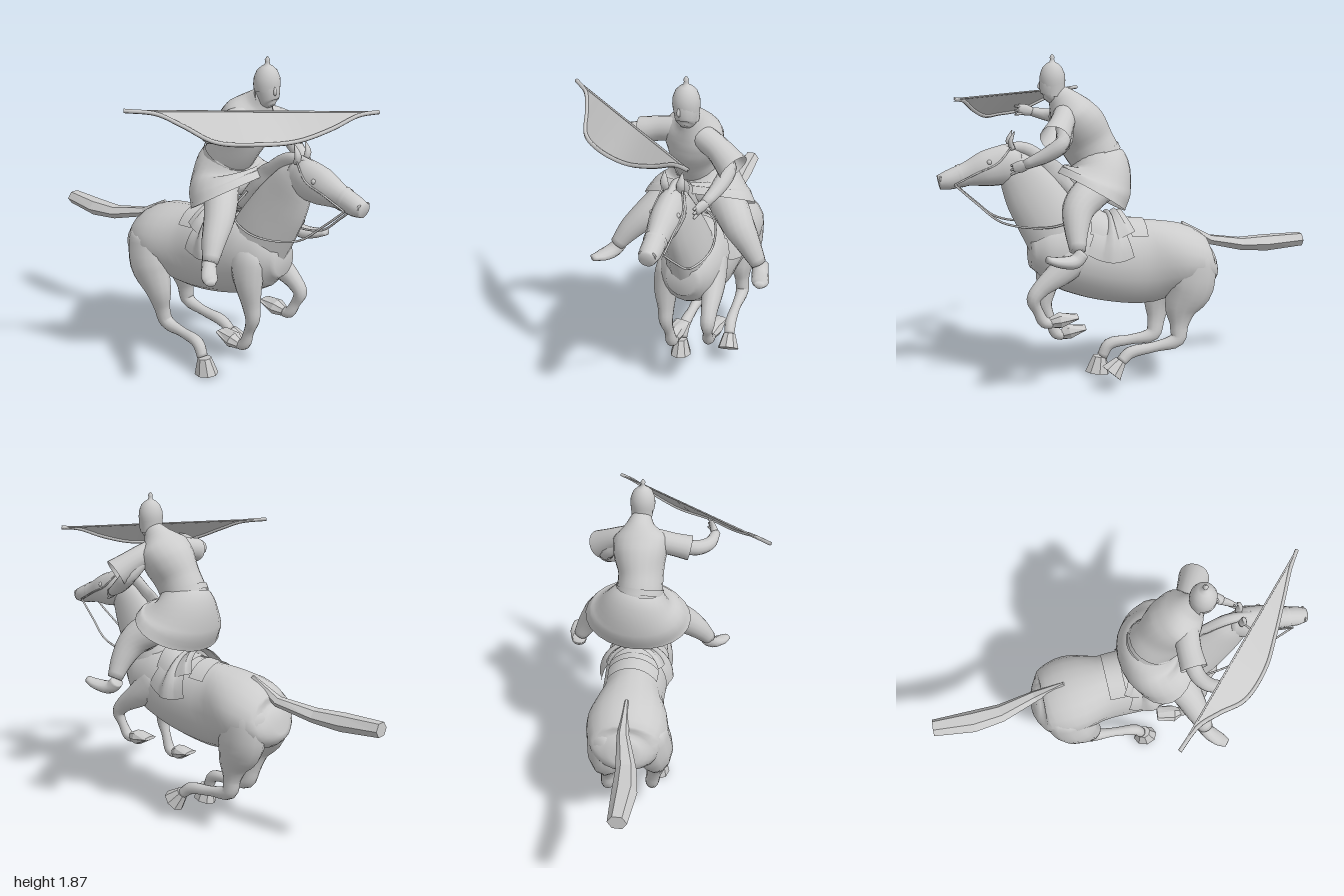
import * as THREE from 'three';

const V = (x, y, z) => new THREE.Vector3(x, y, z);
const grey = new THREE.MeshStandardMaterial({ color: 0xcccccc });
const faceted = new THREE.MeshStandardMaterial({ color: 0xcccccc, flatShading: true });
const thin = new THREE.MeshStandardMaterial({ color: 0xcccccc, side: THREE.DoubleSide });
const SIDE = V(0.927, 0, -0.375); // sideways axis of the horse
const UP = V(0, 1, 0);
// a point in the horse's own frame: distance along, height, sideways offset
const at = (z, y, u = 0) => [0.41 * z + 0.927 * u, y, z - 0.375 * u];

export function createModel() {
  const model = new THREE.Group();
  const add = (parent, name, geometry, material = grey) => {
    const mesh = new THREE.Mesh(geometry, material);
    mesh.name = name;
    parent.add(mesh);
    return mesh;
  };
  const group = (name) => {
    const g = new THREE.Group();
    g.name = name;
    model.add(g);
    return g;
  };

  // Skin through elliptical sections [x, y, z, halfWidth, halfDepth]
  function loft(sections, { side = SIDE, n = 16, steps = 4, arc = null, caps = true } = {}) {
    const path = new THREE.CatmullRomCurve3(sections.map((s) => V(s[0], s[1], s[2])));
    const size = new THREE.CatmullRomCurve3(sections.map((s) => V(s[3], s[4] ?? s[3], 0)));
    const rows = (sections.length - 1) * steps, cols = arc ? n + 1 : n;
    const [from, to] = arc ?? [0, Math.PI * 2];
    const pos = [], idx = [];
    for (let i = 0; i <= rows; i++) {
      const c = path.getPoint(i / rows), r = size.getPoint(i / rows), t = path.getTangent(i / rows);
      const s = side.clone().addScaledVector(t, -side.dot(t)).normalize();
      const m = t.clone().cross(s);
      for (let j = 0; j < cols; j++) {
        const a = from + (to - from) * j / n;
        const p = c.clone().addScaledVector(s, r.x * Math.cos(a)).addScaledVector(m, r.y * Math.sin(a));
        pos.push(p.x, p.y, p.z);
      }
    }
    for (let i = 0; i < rows; i++) for (let j = 0; j < n; j++) {
      const k = (j + 1) % cols, a = i * cols + j, b = i * cols + k;
      idx.push(a, b, b + cols, a, b + cols, a + cols);
    }
    if (caps && !arc) {
      const e = rows * cols, c0 = pos.length / 3;
      pos.push(...sections[0].slice(0, 3), ...sections.at(-1).slice(0, 3));
      for (let j = 0; j < n; j++) {
        const k = (j + 1) % n;
        idx.push(c0, k, j, c0 + 1, e + j, e + k);
      }
    }
    const g = new THREE.BufferGeometry();
    g.setAttribute('position', new THREE.Float32BufferAttribute(pos, 3));
    g.setIndex(idx);
    g.computeVertexNormals();
    return g;
  }
  const tube = (pts, r) => new THREE.TubeGeometry(
    new THREE.CatmullRomCurve3(pts.map((p) => V(...p))), 32, r, 6);

  // ---- Horse ----
  const horse = group('horse');
  add(horse, 'horseBody', loft([
    [...at(-0.46, 0.69), 0.07, 0.07], [...at(-0.41, 0.675), 0.185, 0.14], [...at(-0.25, 0.705), 0.23, 0.205],
    [...at(-0.05, 0.695), 0.18, 0.245], [...at(0.15, 0.72), 0.185, 0.235], [...at(0.33, 0.77), 0.175, 0.22],
    [...at(0.46, 0.79), 0.145, 0.17], [...at(0.54, 0.79), 0.08, 0.09]], { n: 20 }));
  add(horse, 'horseNeck', loft([
    [...at(0.34, 0.78), 0.14, 0.19], [...at(0.435, 0.96), 0.115, 0.175], [...at(0.52, 1.11), 0.09, 0.155],
    [...at(0.59, 1.24), 0.072, 0.115], [...at(0.64, 1.32), 0.05, 0.06]]));
  add(horse, 'horseHead', loft([
    [...at(0.57, 1.29), 0.05, 0.06], [...at(0.65, 1.275), 0.075, 0.108], [...at(0.75, 1.255), 0.075, 0.098],
    [...at(0.85, 1.228), 0.055, 0.064], [...at(0.94, 1.2), 0.052, 0.052], [...at(0.985, 1.19), 0.04, 0.038]]));
  add(horse, 'mane', loft([
    [...at(0.25, 1.03), 0.02, 0.03], [...at(0.35, 1.16), 0.022, 0.04], [...at(0.45, 1.28), 0.022, 0.04],
    [...at(0.56, 1.36), 0.03, 0.035], [...at(0.68, 1.36), 0.02, 0.02]], { n: 8 }));
  for (const u of [-1, 1]) {
    add(horse, 'horseEar', loft([
      [...at(0.62, 1.36, u * 0.035), 0.022, 0.016], [...at(0.63, 1.4, u * 0.042), 0.022, 0.014],
      [...at(0.61, 1.455, u * 0.045), 0.003]], { n: 8 }));
    add(horse, 'horseEye', new THREE.SphereGeometry(0.014, 10, 8)).position.set(...at(0.74, 1.295, u * 0.064));
    add(horse, 'nostril', new THREE.TorusGeometry(0.012, 0.005, 6, 12)).position.set(...at(0.975, 1.21, u * 0.03));
    add(horse, 'rein', tube([at(0.91, 1.18, u * 0.053), at(0.81, 1.08, u * 0.07), at(0.68, 0.97, u * 0.1),
      at(0.42, 0.945, u * 0.135), at(0.28, 1.02, u * 0.1), at(0.32, 1.13, u * 0.03)], 0.006));
    add(horse, 'cheekStrap', tube([at(0.91, 1.18, u * 0.055), at(0.8, 1.24, u * 0.068),
      at(0.7, 1.29, u * 0.076), at(0.63, 1.37, u * 0.05)], 0.005));
  }
  add(horse, 'noseband', loft([[...at(0.865, 1.224), 0.058, 0.064], [...at(0.885, 1.218), 0.057, 0.062]],
    { caps: false, steps: 1 }), thin);
  add(horse, 'tail', loft([
    [...at(-0.28, 0.905), 0.01, 0.015], [...at(-0.44, 0.8), 0.034, 0.03], [-0.3, 0.755, -0.62, 0.055, 0.04],
    [-0.375, 0.75, -0.77, 0.066, 0.05], [-0.455, 0.762, -0.985, 0.05, 0.042]], { n: 6, steps: 1 }), faceted);

  // Legs: sections down to the fetlock, then the hoof
  const legs = {
    hindLeftLeg: [[[-0.04, 0.78, -0.32, 0.05, 0.08], [-0.03, 0.7, -0.34, 0.12, 0.145], [-0.01, 0.56, -0.34, 0.1, 0.145],
      [0, 0.43, -0.29, 0.07, 0.1], [0.01, 0.33, -0.28, 0.043, 0.055], [0.02, 0.25, -0.27, 0.04, 0.045],
      [0.07, 0.215, -0.14, 0.028, 0.03], [0.13, 0.195, -0.01, 0.033, 0.035], [0.16, 0.15, 0.04, 0.03, 0.03]],
    [[0.16, 0.155, 0.04, 0.036, 0.036], [0.19, 0.09, 0.09, 0.062, 0.07]]],
    hindRightLeg: [[[-0.2, 0.79, -0.25, 0.05, 0.08], [-0.22, 0.7, -0.25, 0.125, 0.15], [-0.25, 0.56, -0.2, 0.105, 0.14],
      [-0.23, 0.42, -0.14, 0.068, 0.09], [-0.21, 0.3, -0.13, 0.043, 0.053], [-0.19, 0.215, -0.11, 0.04, 0.045],
      [-0.14, 0.19, 0.02, 0.028, 0.03], [-0.1, 0.17, 0.14, 0.034, 0.035], [-0.09, 0.1, 0.18, 0.032, 0.032]],
    [[-0.085, 0.1, 0.195, 0.038, 0.042], [-0.078, 0.003, 0.208, 0.062, 0.075]]],
    frontLeftLeg: [[[0.19, 0.87, 0.22, 0.03, 0.04], [0.22, 0.79, 0.26, 0.075, 0.1], [0.28, 0.7, 0.34, 0.065, 0.08],
      [0.34, 0.61, 0.45, 0.045, 0.05], [0.36, 0.55, 0.49, 0.038, 0.04], [0.345, 0.48, 0.47, 0.026, 0.028],
      [0.325, 0.415, 0.44, 0.032, 0.032], [0.31, 0.405, 0.4, 0.028, 0.028]],
    [[0.31, 0.41, 0.41, 0.03, 0.03], [0.29, 0.42, 0.36, 0.054, 0.045], [0.26, 0.436, 0.265, 0.045, 0.01]]],
    frontRightLeg: [[[0.09, 0.88, 0.4, 0.03, 0.04], [0.06, 0.78, 0.43, 0.075, 0.11], [0.05, 0.66, 0.46, 0.068, 0.085],
      [0.06, 0.53, 0.48, 0.045, 0.055], [0.065, 0.45, 0.49, 0.038, 0.042], [0.06, 0.36, 0.46, 0.027, 0.029],
      [0.05, 0.275, 0.43, 0.033, 0.033], [0.035, 0.255, 0.39, 0.028, 0.028]],
    [[0.035, 0.26, 0.4, 0.03, 0.03], [0.015, 0.275, 0.36, 0.054, 0.045], [-0.01, 0.295, 0.265, 0.045, 0.01]]],
  };
  for (const [name, [sections, hoof]] of Object.entries(legs)) {
    add(horse, name, loft(sections, { n: 12 }));
    add(horse, name + 'Hoof', loft(hoof, { n: 8, steps: 1 }), faceted);
  }

  // Saddle and flaps wrapped over the back
  const tack = group('tack');
  add(tack, 'saddleFlaps', loft([
    [...at(0.03, 0.76), 0.19, 0.2], [...at(0.1, 0.74), 0.2, 0.235], [...at(0.2, 0.75), 0.2, 0.235],
    [...at(0.28, 0.79), 0.18, 0.22]], { arc: [0, Math.PI] }), thin);
  add(tack, 'saddle', loft([
    [...at(-0.01, 0.84), 0.15, 0.18], [...at(0.03, 0.82), 0.17, 0.2], [...at(0.12, 0.8), 0.18, 0.18],
    [...at(0.26, 0.82), 0.16, 0.22]], { arc: [0.35, Math.PI - 0.35] }), thin);
  add(tack, 'backStrap', loft([[...at(-0.05, 0.71), 0.185, 0.238], [...at(0.04, 0.715), 0.189, 0.241]],
    { arc: [0.7, Math.PI - 0.7], steps: 1 }), thin);

  // ---- Rider ----
  const rider = group('rider');
  add(rider, 'torso', loft([
    [0.06, 1.12, 0.15, 0.16, 0.14], [0.06, 1.27, 0.175, 0.13, 0.14], [0.08, 1.38, 0.235, 0.125, 0.148],
    [0.11, 1.48, 0.28, 0.15, 0.15], [0.13, 1.55, 0.318, 0.155, 0.125], [0.15, 1.615, 0.358, 0.08, 0.085],
    [0.16, 1.67, 0.4, 0.045, 0.045]], { side: V(0.99, 0, -0.12), n: 20 }));
  add(rider, 'belt', loft([[0.062, 1.285, 0.182, 0.137, 0.147], [0.066, 1.315, 0.197, 0.135, 0.149]],
    { caps: false, steps: 1, n: 24 }), thin);
  add(rider, 'tunicSkirt', loft([
    [0.06, 1.32, 0.185, 0.13, 0.14], [0.065, 1.24, 0.17, 0.2, 0.172], [0.075, 1.165, 0.19, 0.27, 0.205],
    [0.09, 1.11, 0.22, 0.305, 0.215]], { n: 24, caps: false }), thin);

  // Head with a pointed helmet
  add(rider, 'face', loft([
    [0.178, 1.612, 0.438, 0.022, 0.022], [0.173, 1.632, 0.424, 0.05, 0.052], [0.168, 1.7, 0.412, 0.063, 0.067],
    [0.165, 1.76, 0.41, 0.06, 0.062]], { side: V(1, 0, 0) }));
  add(rider, 'nose', loft([[0.172, 1.718, 0.47, 0.006], [0.174, 1.69, 0.48, 0.01], [0.174, 1.678, 0.474, 0.007]],
    { side: V(1, 0, 0), n: 8 }));
  const helmet = [[0.066, -0.03], [0.07, 0], [0.067, 0.035], [0.053, 0.07], [0.032, 0.09], [0.014, 0.1],
    [0.011, 0.115], [0.014, 0.123], [0.006, 0.137], [0, 0.142]].map(([r, y]) => new THREE.Vector2(r, y));
  add(rider, 'helmet', new THREE.LatheGeometry(helmet, 24), thin).position.set(0.165, 1.722, 0.408);
  add(rider, 'neckGuard', new THREE.CylinderGeometry(0.066, 0.06, 0.07, 20, 1, true, Math.PI / 2, Math.PI), thin)
    .position.set(0.165, 1.672, 0.405);

  // Arms: wide short sleeve, forearm, hand and fingers
  const arms = [
    ['leftArm', [[0.18, 1.545, 0.335, 0.065], [0.3, 1.495, 0.335, 0.066], [0.415, 1.425, 0.35, 0.082]],
      [[0.27, 1.49, 0.325, 0.048], [0.355, 1.4, 0.32, 0.045], [0.37, 1.34, 0.4, 0.04], [0.37, 1.285, 0.52, 0.026]],
      [[0.37, 1.285, 0.51], [0.365, 1.265, 0.585]]],
    ['rightArm', [[0.06, 1.545, 0.35, 0.066], [-0.04, 1.53, 0.38, 0.064], [-0.13, 1.51, 0.42, 0.07]],
      [[-0.04, 1.53, 0.38, 0.046], [-0.16, 1.51, 0.44, 0.042], [-0.205, 1.515, 0.51, 0.037], [-0.2, 1.535, 0.61, 0.025]],
      [[-0.2, 1.535, 0.6], [-0.14, 1.555, 0.67]]],
  ];
  for (const [name, sleeve, forearm, [wrist, tip]] of arms) {
    add(rider, name + 'Sleeve', loft(sleeve, { side: UP, caps: false }), thin);
    add(rider, name, loft(forearm, { side: UP, n: 12 }));
    const mid = wrist.map((v, i) => (v + tip[i]) / 2);
    add(rider, 'palm', loft([[...wrist, 0.024], [...mid, 0.032, 0.018], [...tip, 0.024, 0.012]], { side: UP, n: 10 }));
    for (let f = -1; f <= 1; f++) {
      add(rider, 'finger', loft([[mid[0], mid[1] + f * 0.018, mid[2], 0.01],
        [tip[0] + (tip[0] - mid[0]) * 0.7, tip[1] + f * 0.024 - 0.01, tip[2] + (tip[2] - mid[2]) * 0.4, 0.007]],
      { side: UP, n: 6 }));
    }
  }

  // Trousered legs and boots
  const riderLegs = [
    ['leftLeg', [[0.15, 1.15, 0.14, 0.09], [0.27, 1.115, 0.2, 0.098], [0.36, 1.05, 0.24, 0.088],
      [0.43, 0.96, 0.24, 0.066], [0.49, 0.85, 0.225, 0.042]],
    [[0.485, 0.84, 0.2, 0.042, 0.035], [0.51, 0.8, 0.235, 0.045, 0.038], [0.565, 0.805, 0.31, 0.045, 0.028],
      [0.598, 0.825, 0.365, 0.025, 0.018]]],
    ['rightLeg', [[0.02, 1.15, 0.2, 0.09], [-0.04, 1.115, 0.31, 0.093], [-0.1, 1.04, 0.41, 0.083],
      [-0.17, 0.95, 0.49, 0.064], [-0.22, 0.86, 0.55, 0.041]],
    [[-0.215, 0.86, 0.53, 0.04, 0.035], [-0.235, 0.825, 0.57, 0.042, 0.035], [-0.26, 0.81, 0.63, 0.042, 0.026],
      [-0.28, 0.81, 0.685, 0.024, 0.016]]],
  ];
  for (const [name, leg, boot] of riderLegs) {
    add(rider, name, loft(leg));
    add(rider, name + 'Boot', loft(boot, { n: 12 }));
  }

  // ---- Bow: curved limb with a sheet filled in up to the straight string ----
  const bow = group('bow');
  const limb = new THREE.CatmullRomCurve3([
    [-0.61, 1.665, 0.405], [-0.47, 1.65, 0.475], [-0.37, 1.6, 0.57], [-0.26, 1.54, 0.69], [-0.08, 1.527, 0.77],
    [0.12, 1.527, 0.8], [0.3, 1.57, 0.815], [0.45, 1.625, 0.825], [0.55, 1.635, 0.845]].map((p) => V(...p)));
  add(bow, 'bowLimb', new THREE.TubeGeometry(limb, 64, 0.011, 6));
  const first = limb.getPoint(0), last = limb.getPoint(1);
  add(bow, 'bowString', new THREE.TubeGeometry(new THREE.LineCurve3(first, last), 1, 0.005, 6));
  const sheet = new THREE.PlaneGeometry(1, 1, 48, 1), p = sheet.attributes.position;
  for (let i = 0; i < p.count; i++) {
    const q = limb.getPoint(THREE.MathUtils.clamp(p.getX(i) + 0.5, 0, 1));
    if (p.getY(i) > 0) q.copy(first.clone().lerp(last, (q.x - first.x) / (last.x - first.x)));
    p.setXYZ(i, q.x, q.y, q.z);
  }
  sheet.computeVertexNormals();
  add(bow, 'bowSheet', sheet, thin);

  return model;
}
